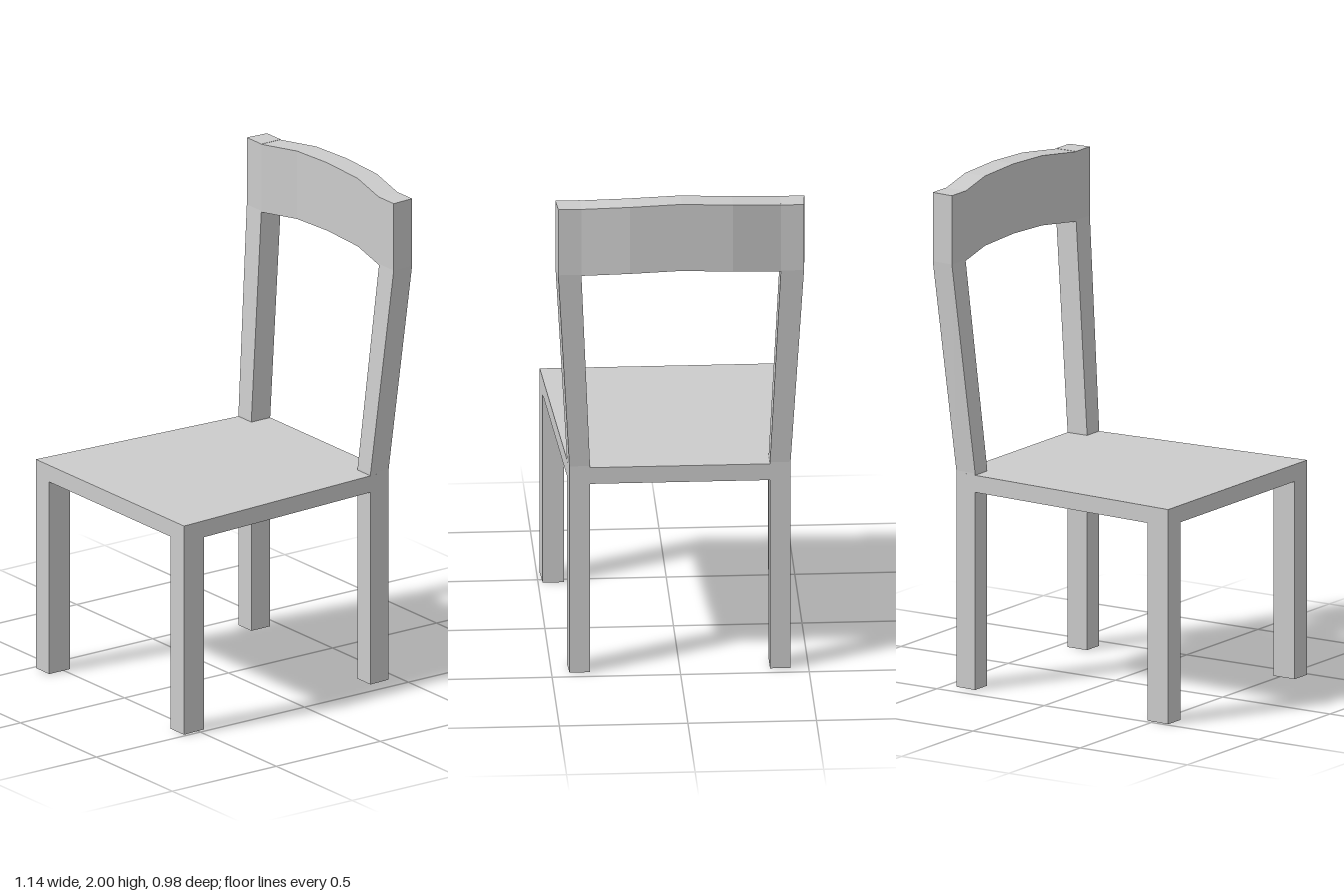
import * as THREE from 'three';

const material = new THREE.MeshStandardMaterial({ color: 0xcccccc, flatShading: true });

// Skin a row of four-cornered rings and close both ends.
// Corners run anticlockwise as seen from the last ring's side.
function loft(rings) {
  const pos = [];
  const quad = (a, b, c, d) => pos.push(...a, ...b, ...c, ...a, ...c, ...d);
  for (let i = 0; i < rings.length - 1; i++) {
    for (let j = 0; j < 4; j++) {
      const k = (j + 1) % 4;
      quad(rings[i][j], rings[i][k], rings[i + 1][k], rings[i + 1][j]);
    }
  }
  quad(...[...rings[0]].reverse());
  quad(...rings[rings.length - 1]);
  const geo = new THREE.BufferGeometry();
  geo.setAttribute('position', new THREE.Float32BufferAttribute(pos, 3));
  geo.computeVertexNormals();
  return geo;
}

// Horizontal section of a post; the outer side tapers from front to back.
const section = (y, x0, x1, zIn, zOutFront, zOutBack) => [
  [x0, y, zOutFront], [x1, y, zOutBack], [x1, y, zIn], [x0, y, zIn],
];

const mirrorZ = (rings) => rings.map((r) => r.map(([x, y, z]) => [x, y, -z]).reverse());

export function createModel() {
  const chair = new THREE.Group();
  chair.name = 'chair';
  const add = (name, rings) => {
    const mesh = new THREE.Mesh(loft(rings), material);
    mesh.name = name;
    chair.add(mesh);
  };

  // Seat: a thin slab, narrower towards the backrest
  const seatRing = (y) => [
    [-0.57, y, 0.488], [0.456, y, 0.43], [0.456, y, -0.43], [-0.57, y, -0.488],
  ];
  add('seat', [seatRing(0.79), seatRing(0.858)]);

  // Front legs
  const frontLeg = [0, 0.79].map((y) => section(y, -0.57, -0.47, 0.4, 0.488, 0.482));

  // Rear legs run on into the back posts, leaning back and outwards, then upright
  const backPost = [
    section(0, 0.365, 0.456, 0.35, 0.435, 0.43),
    section(0.865, 0.365, 0.456, 0.35, 0.435, 0.43),
    section(1.7, 0.441, 0.534, 0.388, 0.484, 0.478),
    section(1.975, 0.441, 0.534, 0.388, 0.484, 0.478),
  ];
  for (const [name, rings] of [['FrontLeg', frontLeg], ['BackPost', backPost]]) {
    add('near' + name, rings);
    add('far' + name, mirrorZ(rings));
  }

  // Backrest: a faceted board bowed backwards and arched upwards
  const stations = [
    [-0.388, 0.441, 0], [-0.2, 0.475, 0.018], [0, 0.475, 0.026], [0.2, 0.475, 0.018], [0.388, 0.441, 0],
  ];
  add('backrest', stations.map(([z, x, rise]) => [
    [x, 1.695 + rise, z], [x + 0.092, 1.695 + rise, z],
    [x + 0.092, 1.974 + rise, z], [x, 1.974 + rise, z],
  ]));

  return chair;
}
